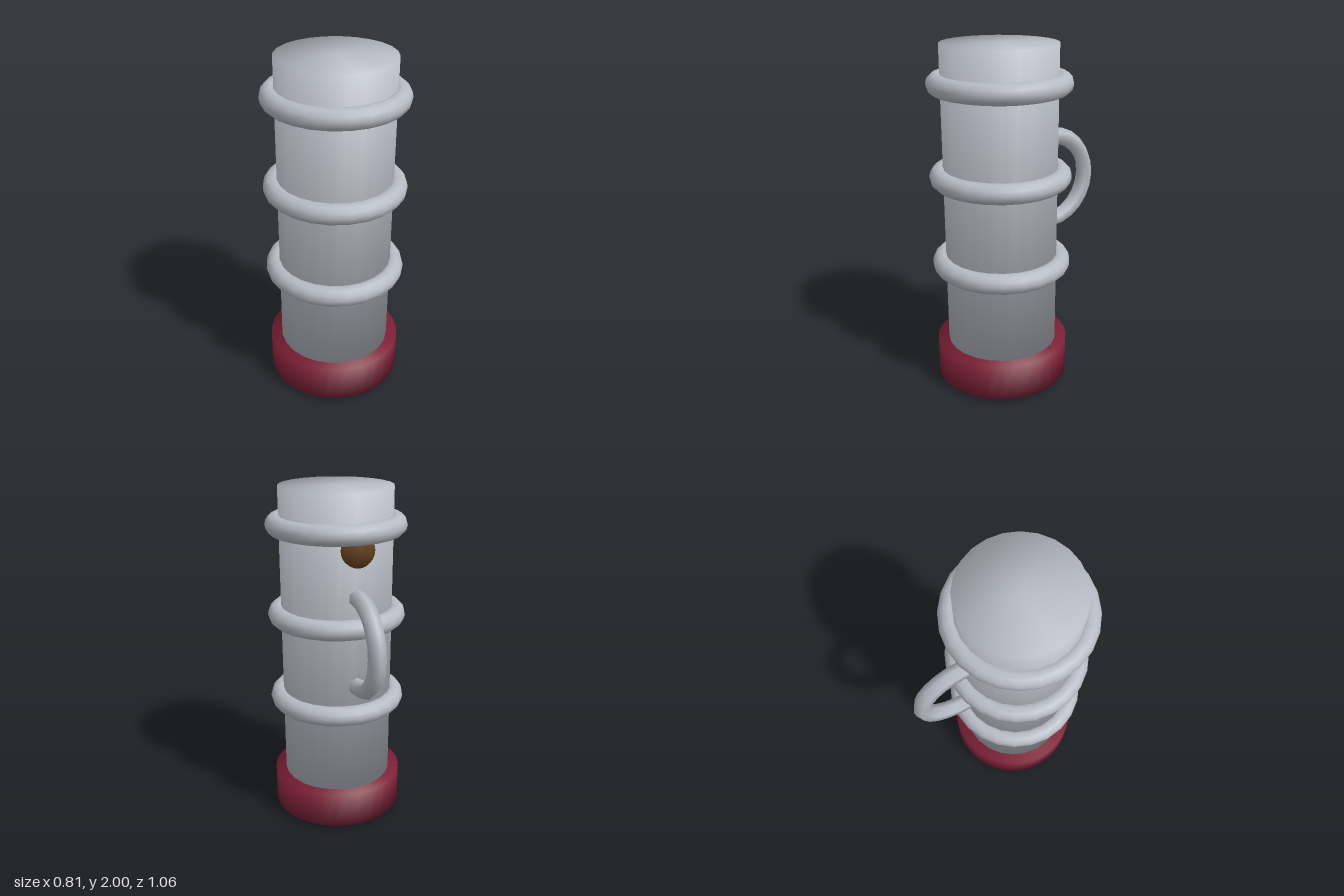
import * as THREE from 'three';

const mat = (name, color) => new THREE.MeshStandardMaterial({ name, color });

// Cylinder shaded softly across its rims: normals lean 45 degrees outward at both ends.
function softCylinder(radius, height, sides) {
  const g = new THREE.CylinderGeometry(radius, radius, height, sides);
  const p = g.attributes.position;
  const n = g.attributes.normal;
  for (let i = 0; i < p.count; i++) {
    n.setXYZ(i,
      0.707 * p.getX(i) / radius,
      0.707 * Math.sign(p.getY(i)),
      0.707 * p.getZ(i) / radius);
  }
  return g;
}

export function createModel() {
  const grey = mat('pale grey metal', 0xb7bbc4);
  const red = mat('dark red', 0x7c2036);
  const brown = mat('brown', 0x63421f);
  const pink = mat('pale pink', 0xe2cccb);

  const AXIS_Z = 0.125; // the tube stands forward so that the handle fits behind it
  const model = new THREE.Group();
  model.name = 'ringedTube';

  const add = (name, geometry, material, x, y, z) => {
    const mesh = new THREE.Mesh(geometry, material);
    mesh.name = name;
    mesh.position.set(x, y, z);
    model.add(mesh);
    return mesh;
  };
  const column = (name, radius, bottom, top, sides, material) =>
    add(name, softCylinder(radius, top - bottom, sides), material, 0, (bottom + top) / 2, AXIS_Z);

  // Stacked round parts
  column('body', 0.325, 0.2, 2, 24, grey);
  column('baseCollar', 0.39, 0.03, 0.245, 32, red);
  column('bottomLens', 0.257, 0, 0.06, 32, pink);

  // Three raised rings
  [0.745, 1.265, 1.787].forEach((y, i) => {
    const ring = add('ring' + (i + 1), new THREE.TorusGeometry(0.345, 0.058, 12, 24), grey, 0, y, AXIS_Z);
    ring.rotation.x = Math.PI / 2;
  });

  // Six-sided loop handle on the back, its ends sunk into the body
  const arc = Math.PI * 7 / 6;
  const loop = new THREE.TorusGeometry(0.262, 0.05, 6, 14, arc);
  loop.rotateZ(-arc / 2);
  loop.rotateY(Math.PI / 2);
  add('handle', loop, grey, 0, 1.178, -0.218);

  // Round button above the handle
  const button = add('button', softCylinder(0.092, 0.1, 24), brown, 0, 1.7, -0.17);
  button.rotation.x = -Math.PI / 2;

  return model;
}
